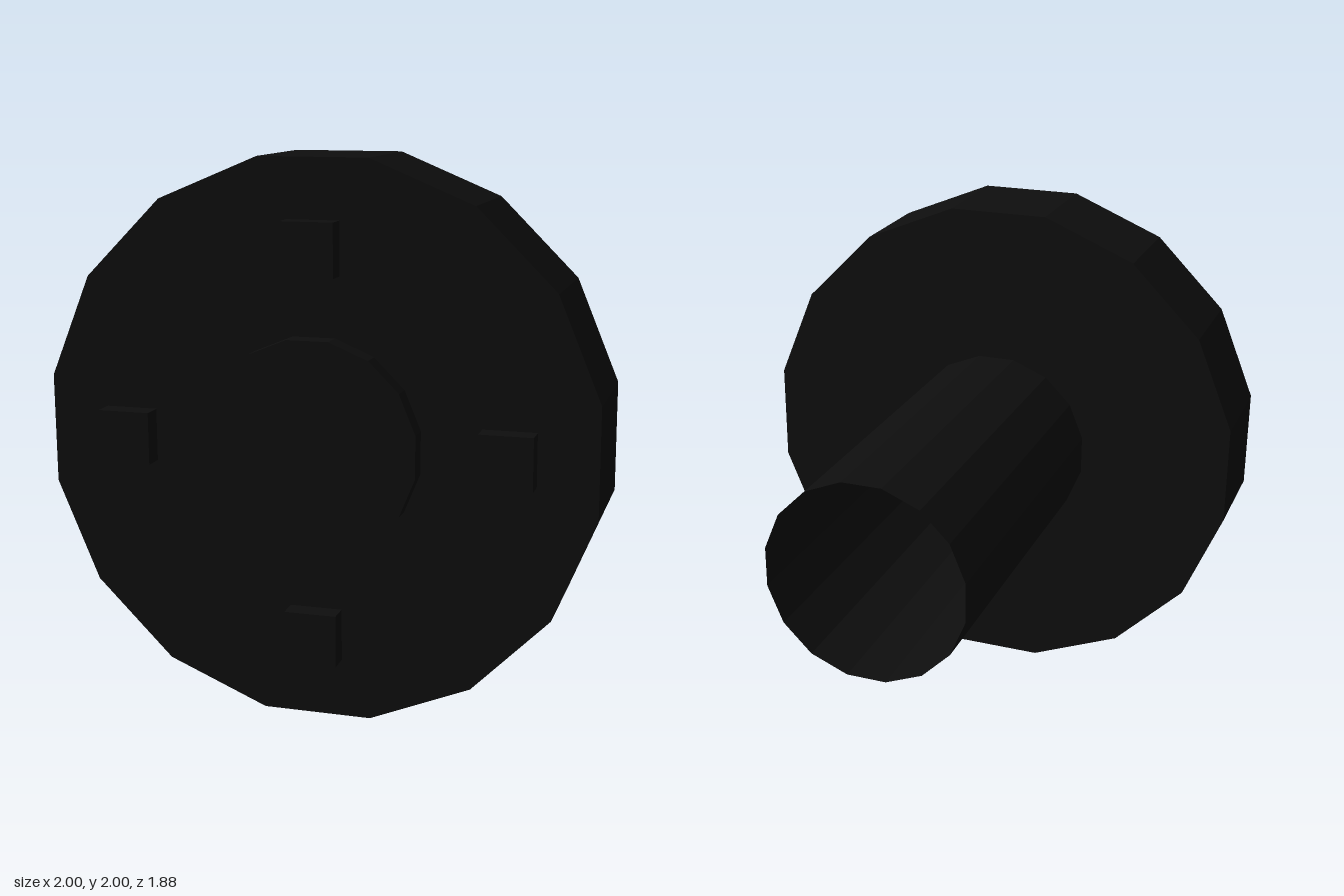
import * as THREE from 'three';

const SIDES = 16;
const HALF = Math.PI / SIDES;
const CENTRE_Y = 1;

export function createModel() {
  const group = new THREE.Group();
  const black = new THREE.MeshStandardMaterial({ color: 0x0e0e0e, flatShading: true, side: THREE.DoubleSide });
  black.name = 'black';

  const add = (name, geometry, x, y, z) => {
    const mesh = new THREE.Mesh(geometry, black);
    mesh.name = name;
    mesh.position.set(x, y, z);
    group.add(mesh);
  };

  // Sixteen-sided prism along z, with flats at top, bottom and sides
  const prism = (apothem, length, open) =>
    new THREE.CylinderGeometry(apothem / Math.cos(HALF), apothem / Math.cos(HALF), length, SIDES, 1, open, HALF)
      .rotateX(Math.PI / 2);

  // Wheel disc
  add('wheel', prism(1, 0.425, false), 0, CENTRE_Y, 0.6525);

  // Hollow axle, open at the back and closed by the hub cap in front
  const axleRadius = 0.383;
  add('axle', prism(axleRadius, 1.88, true), 0, CENTRE_Y, 0);
  add('hubCap', new THREE.CircleGeometry(axleRadius / Math.cos(HALF), SIDES, HALF), 0, CENTRE_Y, 0.94);

  // Four square bolts around the hub
  for (let i = 0; i < 4; i++) {
    const a = i * Math.PI / 2;
    add('bolt', new THREE.BoxGeometry(0.19, 0.19, 0.1),
      0.693 * Math.cos(a), CENTRE_Y + 0.693 * Math.sin(a), 0.89);
  }
  return group;
}
